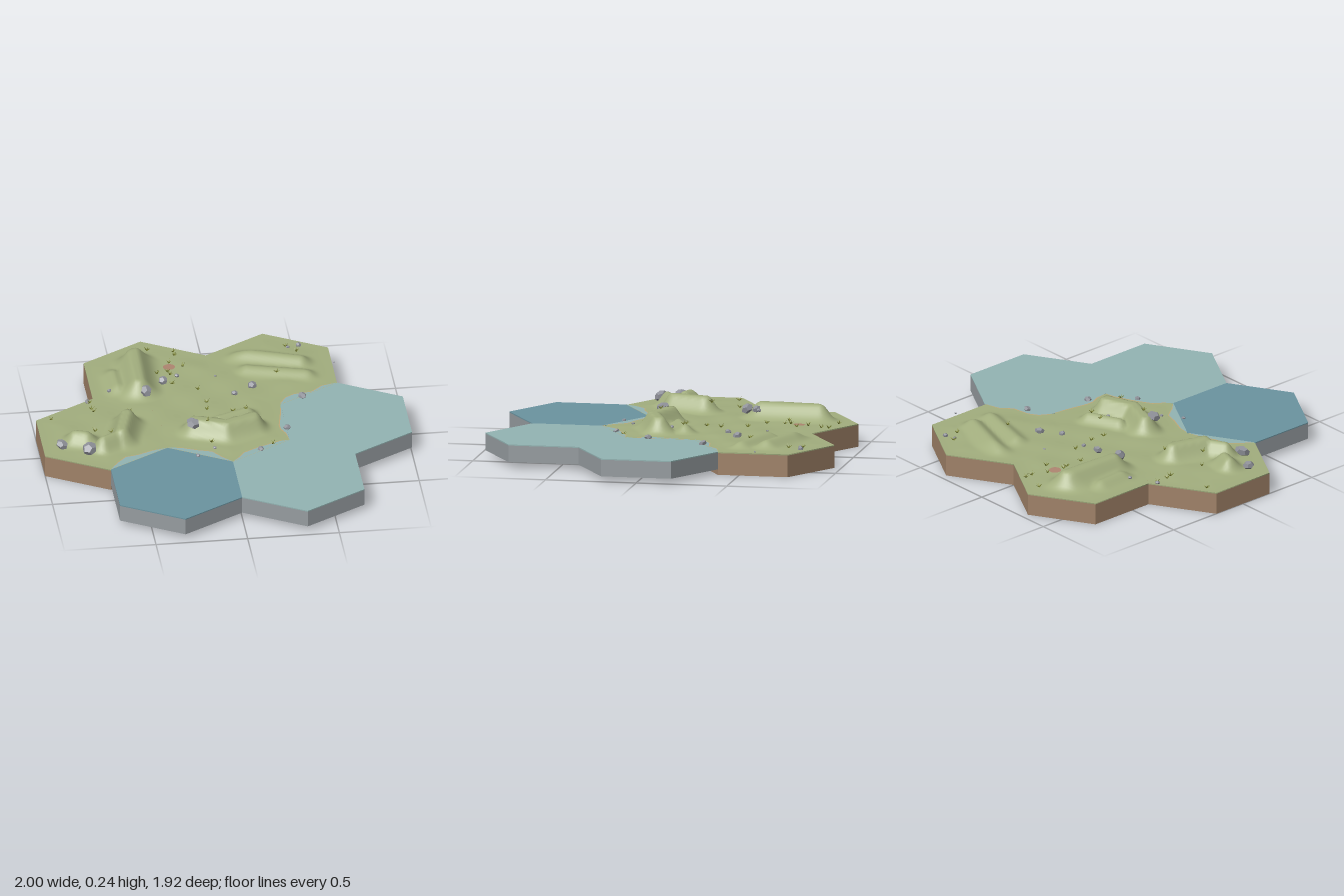
import * as THREE from 'three';
import { mergeGeometries, mergeVertices } from 'three/addons/utils/BufferGeometryUtils.js';

const R = 0.3849, AP = R * Math.sqrt(3) / 2, TOP = 0.125;
const LAND = [[-0.333, -0.577], [0.333, -0.577], [-0.667, 0], [0, 0]];
const SHALLOW = [[0.667, 0], [0.333, 0.577]];
const DEEP = [[-0.333, 0.577]];

// Cells around the land, used to flatten the hills at the outer border
const OUTSIDE = [];
for (let row = -3; row <= 2; row++)
  for (let col = -3; col <= 3; col++) {
    const c = [col * 2 * AP + (row % 2 ? AP : 0), row * 1.5 * R];
    if (!LAND.some(l => Math.hypot(l[0] - c[0], l[1] - c[1]) < 0.1)) OUTSIDE.push(c);
  }

// Hill ridges: x1, z1, x2, z2, width, height
const RIDGES = [
  [-0.4, -0.74, -0.41, -0.42, 0.075, 0.1],
  [-0.54, -0.6, -0.53, -0.46, 0.06, 0.045],
  [0.16, -0.74, 0.5, -0.62, 0.055, 0.045],
  [0.2, -0.57, 0.52, -0.48, 0.05, 0.035],
  [-0.52, -0.08, -0.57, 0.1, 0.06, 0.105],
  [-0.68, 0.16, -0.57, 0.1, 0.05, 0.08],
  [-0.82, 0.06, -0.76, 0.08, 0.055, 0.07],
  [-0.16, 0.04, 0, 0.1, 0.06, 0.11],
  [0, 0.1, 0.16, 0.04, 0.06, 0.11],
  [-0.03, -0.03, 0.14, -0.1, 0.045, 0.05]
];

function height(x, z) {
  let d = 1;
  for (const [cx, cz] of OUTSIDE) {
    const u = Math.abs(x - cx), v = Math.abs(z - cz);
    d = Math.min(d, Math.max(u, u / 2 + v * Math.sqrt(3) / 2) - AP);
  }
  let h = 0.005 + 0.003 * Math.sin(x * 17 + z * 5) * Math.cos(z * 19 - x * 4);
  for (const [x1, z1, x2, z2, w, top] of RIDGES) {
    const dx = x2 - x1, dz = z2 - z1;
    const t = THREE.MathUtils.clamp(((x - x1) * dx + (z - z1) * dz) / (dx * dx + dz * dz), 0, 1);
    const q = Math.hypot(x - x1 - t * dx, z - z1 - t * dz) / w;
    h = Math.max(h, top * Math.exp(-q * q));
  }
  return TOP + Math.min(h, 0.09) * THREE.MathUtils.smoothstep(d, 0.03, 0.17);
}

let seed = 7;
const rand = () => (seed = (seed * 16807) % 2147483647) / 2147483647;

export function createModel() {
  const group = new THREE.Group();
  const paint = (name, color, extra = {}) => {
    const m = new THREE.MeshStandardMaterial({ color, ...extra });
    m.name = name;
    return m;
  };
  const flat = { flatShading: true };
  const grass = paint('grass', 0xa2ae7e);
  const earth = paint('earth', 0xa08268, flat);
  const stone = paint('waterBed', 0x969ca0, flat);
  const shallow = paint('shallowWater', 0x93b4b3, flat);
  const deep = paint('deepWater', 0x6b94a0, flat);
  const sand = paint('sand', 0xc0a878);
  const rock = paint('rock', 0x90929a, flat);
  const plant = paint('plant', 0x848c3c, { flatShading: true, side: THREE.DoubleSide });
  const clay = paint('clay', 0xae8570);

  const add = (name, geometry, material) => {
    const m = new THREE.Mesh(geometry, material);
    m.name = name;
    group.add(m);
    return m;
  };
  const slab = (name, [x, z], y0, y1, material, open = false) =>
    add(name, new THREE.CylinderGeometry(R, R, y1 - y0, 6, 1, open), material)
      .position.set(x, (y0 + y1) / 2, z);

  // Hexagonal tiles
  for (const c of LAND) {
    slab('landBase', c, 0, 0.119, earth);
    slab('grassRim', c, 0.119, TOP, grass, true);
  }
  for (const [cells, material] of [[SHALLOW, shallow], [DEEP, deep]])
    for (const c of cells) {
      slab('waterBase', c, 0.03, 0.121, stone);
      slab('waterSurface', c, 0.121, 0.127, material);
    }

  // Rolling ground: six subdivided triangles per land tile
  const N = 24, pts = [];
  for (const [cx, cz] of LAND)
    for (let s = 0; s < 6; s++) {
      const a0 = s * Math.PI / 3, a1 = a0 + Math.PI / 3;
      const put = (i, j) => {
        const x = cx + R * (i * Math.sin(a0) + j * Math.sin(a1)) / N;
        const z = cz + R * (i * Math.cos(a0) + j * Math.cos(a1)) / N;
        pts.push(x, height(x, z), z);
      };
      for (let i = 0; i < N; i++)
        for (let j = 0; i + j < N; j++) {
          put(i, j); put(i + 1, j); put(i, j + 1);
          if (i + j < N - 1) { put(i + 1, j); put(i + 1, j + 1); put(i, j + 1); }
        }
    }
  let ground = new THREE.BufferGeometry();
  ground.setAttribute('position', new THREE.Float32BufferAttribute(pts, 3));
  ground = mergeVertices(ground, 0.002);
  ground.computeVertexNormals();
  add('ground', ground, grass);

  // Water lapping over the land; the first two points are the tile edge
  const SHORES = [
    [[0.333, -0.192], [0.667, -0.385], [0.58, -0.36], [0.52, -0.305], [0.42, -0.29], [0.37, -0.26], [0.34, -0.21]],
    [[0.333, 0.192], [0.333, -0.192], [0.324, -0.1], [0.3, 0.03], [0.302, 0.07], [0.324, 0.12]],
    [[0, 0.385], [0.333, 0.192], [0.28, 0.2], [0.22, 0.225], [0.15, 0.255], [0.07, 0.3], [0.04, 0.345]],
    [[-0.333, 0.192], [0, 0.385], [-0.05, 0.335], [-0.1, 0.265], [-0.18, 0.24], [-0.26, 0.205]],
    [[-0.667, 0.385], [-0.333, 0.192], [-0.42, 0.215], [-0.5, 0.25], [-0.57, 0.265], [-0.62, 0.32]]
  ];
  const plate = (name, points, y, material) => {
    const g = new THREE.ShapeGeometry(new THREE.Shape(points.map(p => new THREE.Vector2(p[0], -p[1]))));
    add(name, g.rotateX(-Math.PI / 2), material).position.y = y;
  };
  for (const pl of SHORES) {
    const [a, b] = pl, len = Math.hypot(b[0] - a[0], b[1] - a[1]);
    const n = [(b[1] - a[1]) / len, (a[0] - b[0]) / len];
    plate('shoreWater', pl, 0.1285, shallow);
    plate('shoreSand', pl.map((p, i) => i < 2 ? p : [p[0] + n[0] * 0.006, p[1] + n[1] * 0.006]), 0.1278, sand);
  }

  // Bare clay patch draped on the ground
  const patch = new THREE.RingGeometry(0.0005, 0.033, 14, 4).rotateX(-Math.PI / 2).translate(-0.215, 0, -0.66);
  const pp = patch.attributes.position;
  for (let i = 0; i < pp.count; i++) pp.setY(i, height(pp.getX(i), pp.getZ(i)) + 0.003);
  patch.computeVertexNormals();
  add('clayPatch', patch, clay);

  // Rocks: x, z, radius and, where raised, centre height
  const ROCKS = [
    [-0.38, -0.34, 0.036, 0.18], [-0.28, -0.41, 0.025, 0.198], [-0.2, -0.44, 0.013, 0.205],
    [0.205, -0.4, 0.025], [0.1, -0.33, 0.018], [0.46, -0.26, 0.022], [-0.9, 0.13, 0.032, 0.155],
    [-0.76, 0.21, 0.038, 0.165], [-0.18, 0.085, 0.036, 0.208], [0.335, 0.065, 0.021],
    [0.165, 0.275, 0.017], [-0.18, 0.3, 0.012], [-0.57, -0.435, 0.012], [-0.7, -0.35, 0.014],
    [0.51, -0.81, 0.016], [0.45, -0.795, 0.011], [0.02, -0.53, 0.007], [0.08, -0.015, 0.012],
    [-0.08, 0.23, 0.01], [0.675, -0.59, 0.006, 0.135]
  ];
  for (const [x, z, r, y] of ROCKS) {
    const g = new THREE.DodecahedronGeometry(r).scale(1, 0.75, 0.85 + 0.3 * rand());
    const m = add('rock', g, rock);
    m.position.set(x, y ?? height(x, z) + r * 0.35, z);
    m.rotation.set(rand() * 0.5, rand() * 6, rand() * 0.5);
  }

  // Grass tufts made of leaning blades
  const TUFTS = [
    [-0.17, -0.83], [-0.17, -0.79], [-0.31, -0.86], [-0.21, -0.71], [-0.29, -0.59], [-0.22, -0.58],
    [-0.22, -0.48], [-0.69, -0.27], [-0.68, -0.24], [-0.69, -0.34], [-0.92, -0.19], [-0.7, -0.03],
    [-0.5, -0.12], [-0.62, 0.05], [-0.09, -0.4], [-0.06, -0.26], [-0.07, -0.18], [0.06, -0.09],
    [0.13, -0.09], [-0.1, 0.08], [-0.09, 0.17], [0.35, -0.5], [0.49, -0.74], [0.44, -0.81],
    [0.24, 0.22], [-0.14, -0.66], [-0.23, -0.61]
  ];
  for (const [x, z] of TUFTS) {
    const blades = [];
    for (let k = 0; k < 6; k++)
      blades.push(new THREE.ConeGeometry(0.004, 0.026, 3).translate(0, 0.012, 0)
        .rotateZ(0.5 + rand() * 0.5).rotateY(k * Math.PI / 3 + rand()));
    add('grassTuft', mergeGeometries(blades), plant).position.set(x, height(x, z), z);
  }
  return group;
}
